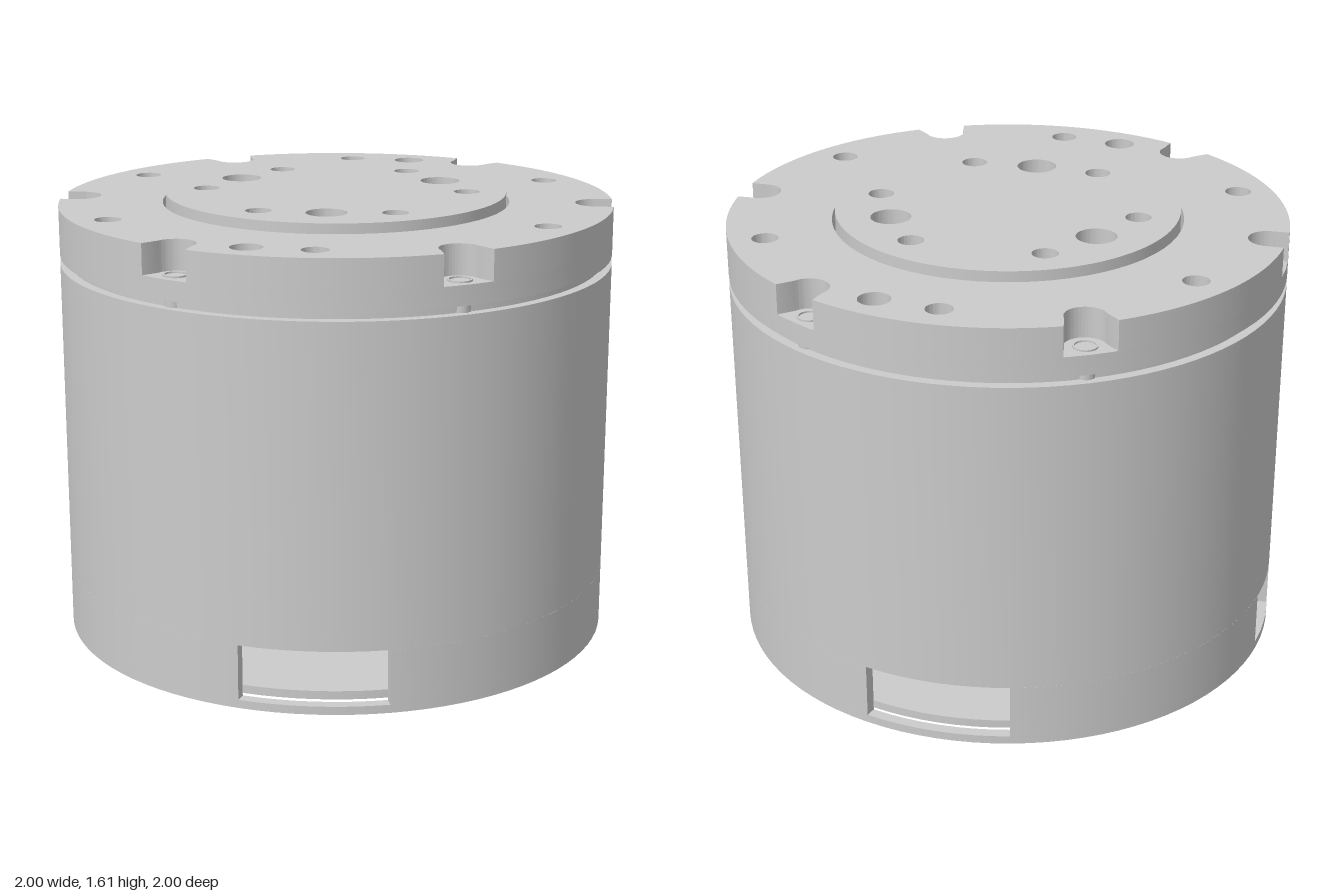
import * as THREE from 'three';
import { toCreasedNormals } from 'three/addons/utils/BufferGeometryUtils.js';

const RAD = Math.PI / 180;
const material = new THREE.MeshStandardMaterial({ color: 0xcccccc });
const thin = new THREE.MeshStandardMaterial({ color: 0xcccccc, side: THREE.DoubleSide });

export function createModel() {
  const model = new THREE.Group();

  function add(name, geometry, mat = material) {
    const mesh = new THREE.Mesh(geometry, mat);
    mesh.name = name;
    model.add(mesh);
    return mesh;
  }
  // Flat outline (x, -z) raised from y0 to y1
  function plate(name, shape, y0, y1, segments = 24) {
    const g = new THREE.ExtrudeGeometry(shape, { depth: y1 - y0, bevelEnabled: false, curveSegments: segments });
    g.rotateX(-Math.PI / 2);
    g.translate(0, y0, 0);
    return add(name, toCreasedNormals(g, 0.5));
  }
  function lathe(name, profile, mat = material) {
    const g = new THREE.LatheGeometry(profile.map(p => new THREE.Vector2(...p)), 96);
    return add(name, toCreasedNormals(g, 0.5), mat);
  }
  const hole = (x, z, r) => new THREE.Path().absarc(x, -z, r, 0, Math.PI * 2, true);
  const polar = (r, deg) => [r * Math.cos(deg * RAD), r * Math.sin(deg * RAD)];
  const around = (n, r, start) => Array.from({ length: n }, (_, i) => polar(r, start + i * 360 / n));
  // Conical drill bottom
  function drillTip(name, x, z, r, yTop, depth) {
    const g = new THREE.ConeGeometry(r, depth, 24, 1, true);
    g.rotateX(Math.PI);
    add(name, g, thin).position.set(x, yTop - depth / 2, z);
  }

  // Housing body, with the groove and the lower half of the flange
  lathe('housing', [[0, 0.24], [0.96, 0.24], [0.96, 0.23], [1, 0.23], [1, 1.37], [0.965, 1.37],
    [0.965, 1.4], [1, 1.4], [1, 1.47], [0, 1.47]]);
  lathe('bottomRim', [[0.96, 0.03], [0.96, 0], [1, 0], [1, 0.03], [0.96, 0.03]]);

  // Wall between the front, back and right cable windows
  for (const [a, b] of [[-75, 75], [105, 171.5], [188.5, 255]]) {
    const s = new THREE.Shape();
    s.absarc(0, 0, 1, a * RAD, b * RAD, false);
    s.absarc(0, 0, 0.96, b * RAD, a * RAD, true);
    plate('windowWall', s, 0.03, 0.23, 48);
  }

  // Bottom cover
  add('bottomCover', new THREE.CylinderGeometry(0.962, 0.962, 0.03, 96)).position.y = 0.055;

  // Cross ribs under the cover, with rounded inner corners and one straight web
  const cross = new THREE.Shape();
  const halfWidth = 0.09, reach = 0.975;
  const half = Math.asin(halfWidth / reach);
  for (let k = 0; k < 4; k++) {
    const arm = 45 + k * 90, mid = arm + 45;
    cross.absarc(0, 0, reach, arm * RAD - half, arm * RAD + half, false);
    const [cx, cy] = polar(halfWidth * Math.SQRT2, mid);
    const web = k === 3;
    const t = web ? 0.33 : 0.07;
    const [ax, ay] = polar(t, arm), [bx, by] = polar(t, arm + 90);
    cross.lineTo(cx + ax, cy + ay);
    if (web) cross.lineTo(cx + bx, cy + by);
    else cross.quadraticCurveTo(cx, cy, cx + bx, cy + by);
  }
  const sinks = around(4, 0.885, 45), bores = around(4, 0.65, 45);
  for (const [x, z] of sinks) cross.holes.push(hole(x, z, 0.075));
  for (const [x, z] of bores) cross.holes.push(hole(x, z, 0.042));
  plate('crossRibs', cross, 0.004, 0.042);

  // Countersinks at the rib ends, pillars inside the cavity
  for (const [x, z] of sinks) {
    add('countersink', new THREE.CylinderGeometry(0.035, 0.075, 0.036, 24, 1, true), thin).position.set(x, 0.022, z);
  }
  for (const [x, z] of bores) {
    add('pillar', new THREE.CylinderGeometry(0.05, 0.05, 0.18, 24)).position.set(x, 0.155, z);
  }

  // Top flange with six open screw pockets around its edge
  const flange = new THREE.Shape();
  for (let k = 0; k < 6; k++) {
    const deg = k * 60, flare = k % 3 === 0 ? 0.072 : 0.092;
    const edge = Math.asin(flare);
    const [px, py] = polar(0.935, deg);
    flange.lineTo(...polar(1, deg - edge / RAD));
    flange.absarc(px, py, 0.072, (deg - 90) * RAD, (deg + 90) * RAD, true);
    flange.absarc(0, 0, 1, deg * RAD + edge, (deg + 60) * RAD - Math.asin(k % 3 === 2 ? 0.072 : 0.092), false);
  }
  flange.curves.shift(); // drop the leading segment from the origin
  flange.holes.push(hole(0, 0, 0.627));
  const flangeHoles = around(6, 0.875, 30);
  for (const [x, z] of flangeHoles) flange.holes.push(hole(x, z, 0.047));
  for (const s of [1, -1]) flange.holes.push(hole(0.227 * s, -0.85 * s, 0.056));
  plate('topFlange', flange, 1.47, 1.578, 32);
  for (const [x, z] of flangeHoles) drillTip('flangeDrillTip', x, z, 0.047, 1.53, 0.05);

  // Screws: socket ring in each pocket, shank showing in the groove
  for (const [x, z] of around(6, 0.935, 0)) {
    const ring = new THREE.Shape().absarc(x, -z, 0.042, 0, Math.PI * 2, false);
    ring.holes.push(hole(x, z, 0.036));
    plate('screwRing', ring, 1.468, 1.476);
    add('screwShank', new THREE.CylinderGeometry(0.033, 0.033, 0.04, 16)).position.set(x * 1.01, 1.385, z * 1.01);
  }

  // Raised output disc
  const disc = new THREE.Shape().absarc(0, 0, 0.615, 0, Math.PI * 2, false);
  const discHoles = around(6, 0.473, 0);
  for (const [x, z] of discHoles) disc.holes.push(hole(x, z, 0.046));
  for (const [x, z] of around(3, 0.427, 90)) disc.holes.push(hole(x, z, 0.072));
  plate('outputDisc', disc, 1.47, 1.612, 96);
  for (const [x, z] of discHoles) drillTip('discDrillTip', x, z, 0.046, 1.56, 0.05);

  return model;
}
